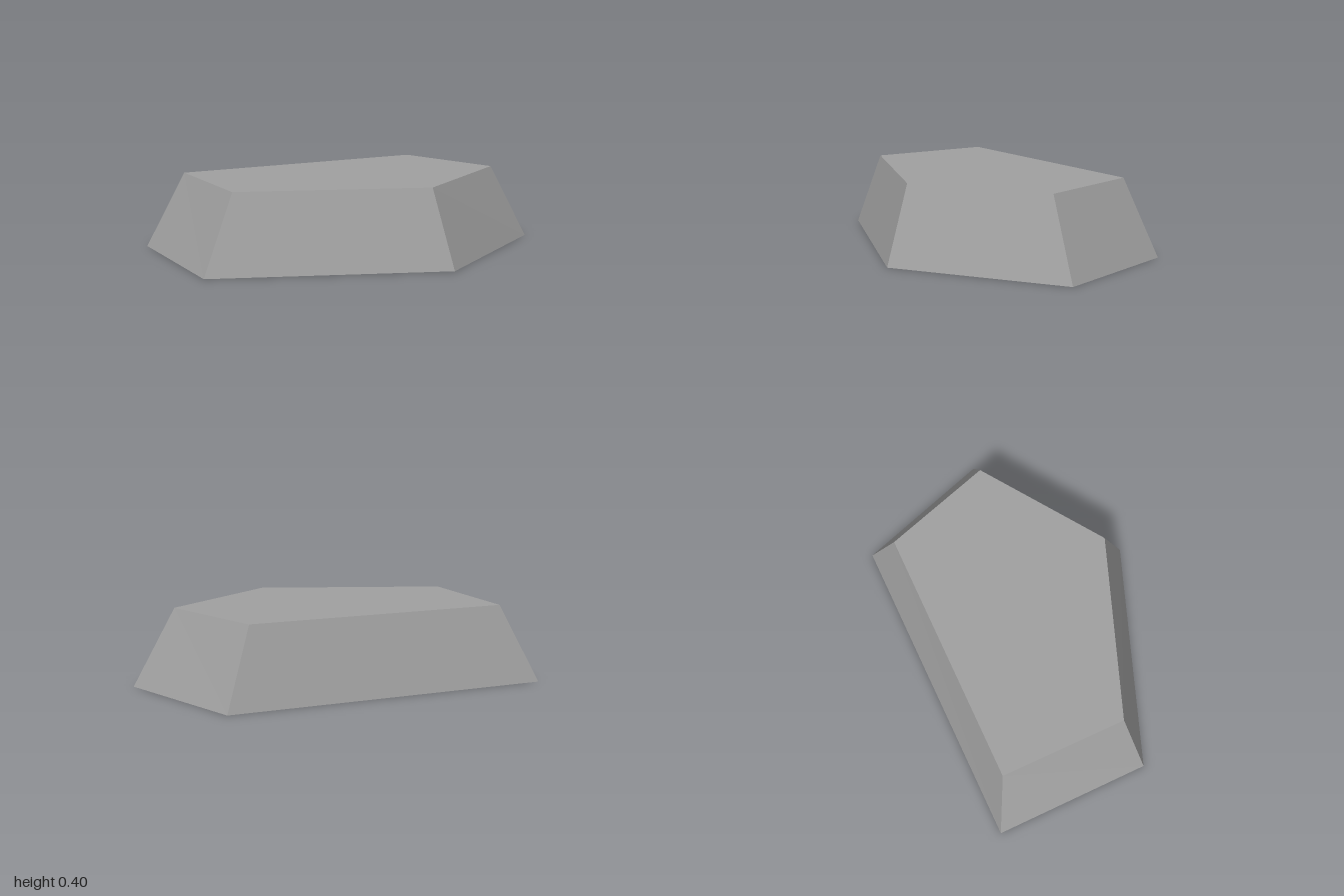
import * as THREE from 'three';

const HEIGHT = 0.4;
// Corner outlines as [x, z], clockwise seen from above
const BASE = [[-1, -0.53], [0.7, -0.65], [1, 0.06], [0.235, 0.645], [-0.94, 0.29]];
const TOP = [[-0.81, -0.44], [0.555, -0.53], [0.785, 0.035], [0.18, 0.505], [-0.765, 0.22]];

// Closed solid between two outlines with matching corners
function frustum(base, top, height) {
  const b = base.map(([x, z]) => [x, 0, z]);
  const t = top.map(([x, z]) => [x, height, z]);
  const positions = [];
  const face = (...corners) => corners.forEach((c) => positions.push(...c));
  const n = b.length;
  for (let i = 0; i < n; i++) {
    const j = (i + 1) % n;
    face(b[i], t[i], t[j]);
    face(b[i], t[j], b[j]);
  }
  for (let i = 1; i < n - 1; i++) {
    face(b[0], b[i], b[i + 1]);
    face(t[0], t[i + 1], t[i]);
  }
  const geometry = new THREE.BufferGeometry();
  geometry.setAttribute('position', new THREE.Float32BufferAttribute(positions, 3));
  geometry.computeVertexNormals();
  return geometry;
}

export function createModel() {
  const stoneGrey = new THREE.MeshStandardMaterial({ color: 0xa0a0a0 });
  stoneGrey.name = 'stoneGrey';

  // Flat five-sided stone with sloping sides
  const stone = new THREE.Mesh(frustum(BASE, TOP, HEIGHT), stoneGrey);
  stone.name = 'stone';

  const group = new THREE.Group();
  group.name = 'flatStone';
  group.add(stone);
  return group;
}
